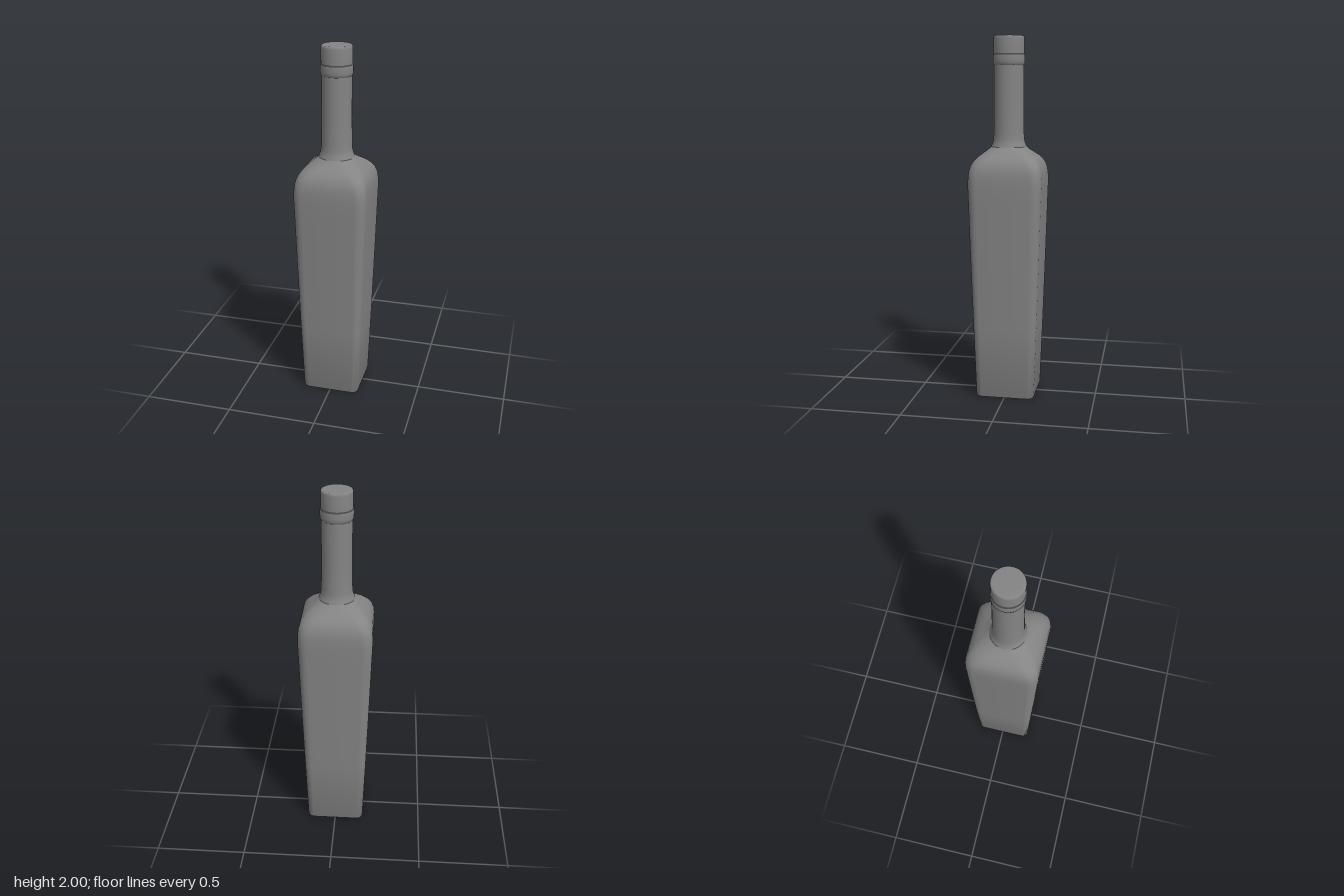
import * as THREE from 'three';
import { toCreasedNormals } from 'three/addons/utils/BufferGeometryUtils.js';

const ARC = 8; // segments per rounded corner

// Rounded square of half-width h and corner radius r at height y
function ring(y, h, r) {
  const pts = [];
  for (let k = 0; k < 4; k++) {
    const mid = (k + 0.5) * Math.PI / 2;
    const cx = Math.sign(Math.cos(mid)) * (h - r);
    const cz = Math.sign(Math.sin(mid)) * (h - r);
    for (let i = 0; i <= ARC; i++) {
      const a = (k + i / ARC) * Math.PI / 2;
      pts.push(cx + r * Math.cos(a), y, cz + r * Math.sin(a));
    }
  }
  return pts;
}

// Skin a stack of [y, halfWidth, cornerRadius] sections and close the bottom
function loft(sections) {
  const n = 4 * (ARC + 1);
  const pos = sections.flatMap(s => ring(...s));
  const index = [];
  for (let i = 0; i < sections.length - 1; i++) {
    for (let j = 0; j < n; j++) {
      const a = i * n + j, b = i * n + (j + 1) % n;
      index.push(a, a + n, b, b, a + n, b + n);
    }
  }
  const centre = pos.length / 3;
  pos.push(0, sections[0][0], 0);
  for (let j = 0; j < n; j++) index.push(centre, j, (j + 1) % n);
  const geo = new THREE.BufferGeometry();
  geo.setAttribute('position', new THREE.Float32BufferAttribute(pos, 3));
  geo.setIndex(index);
  return toCreasedNormals(geo, 0.75);
}

function lathe(points) {
  const geo = new THREE.LatheGeometry(points.map(p => new THREE.Vector2(...p)), 48);
  return toCreasedNormals(geo, 0.6);
}

export function createModel() {
  const group = new THREE.Group();
  const material = new THREE.MeshStandardMaterial({ color: 0x848484, side: THREE.DoubleSide });
  const add = (name, geo) => {
    const mesh = new THREE.Mesh(geo, material);
    mesh.name = name;
    group.add(mesh);
  };

  // Tapered square body, shoulders blending into a circle under the neck
  add('body', loft([
    [0, 0.16, 0.034], [0.006, 0.163, 0.036],
    [0.4, 0.177, 0.042], [0.8, 0.19, 0.049], [1.1, 0.199, 0.054],
    [1.19, 0.202, 0.056], [1.24, 0.201, 0.058], [1.275, 0.197, 0.061],
    [1.305, 0.188, 0.065], [1.33, 0.173, 0.07], [1.35, 0.155, 0.076],
    [1.37, 0.13, 0.083], [1.385, 0.112, 0.09], [1.4, 0.098, 0.0975],
  ]));

  // Neck with a flared foot
  add('neck', lathe([
    [0.1, 1.395], [0.097, 1.405], [0.09, 1.42], [0.086, 1.44],
    [0.084, 1.47], [0.082, 1.6], [0.081, 1.86],
  ]));

  // Bulging collar near the mouth
  add('collar', lathe([
    [0.08, 1.84], [0.084, 1.845], [0.087, 1.853], [0.088, 1.865],
    [0.088, 1.89], [0.087, 1.9], [0.083, 1.903], [0.079, 1.903],
  ]));

  // Stopper cap with a softened top edge
  add('cap', lathe([
    [0.084, 1.9], [0.084, 1.985], [0.083, 1.993], [0.0805, 1.998],
    [0.077, 2], [0.07, 2], [0, 2],
  ]));
  return group;
}
